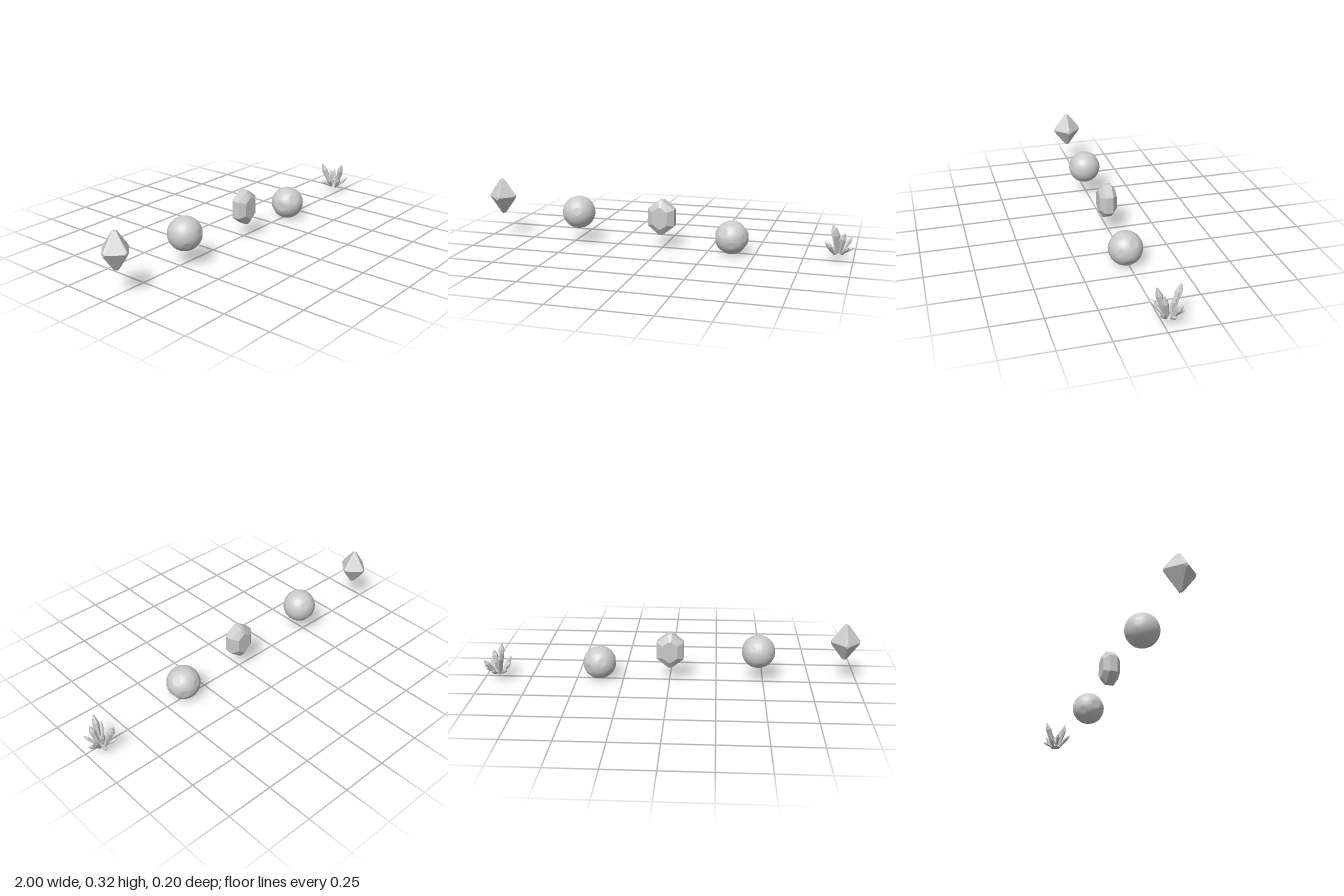
import * as THREE from 'three';
import { ConvexGeometry } from 'three/addons/geometries/ConvexGeometry.js';
import { mergeVertices, toCreasedNormals } from 'three/addons/utils/BufferGeometryUtils.js';

const V = (x, y, z) => new THREE.Vector3(x, y, z);
const smooth = new THREE.MeshStandardMaterial({ color: 0xcccccc });
const faceted = new THREE.MeshStandardMaterial({ color: 0xcccccc, flatShading: true });

function add(parent, name, geometry, material, x = 0, y = 0, z = 0) {
  const mesh = new THREE.Mesh(geometry, material);
  mesh.name = name;
  mesh.position.set(x, y, z);
  parent.add(mesh);
  return mesh;
}

// Eight-sided stone with each of its six corners blunted into a small square
function octahedronStone(rx, ry, rz, blunt) {
  const points = [];
  for (const s of [-1, 1]) for (const a of [-blunt, blunt]) {
    points.push(V(s * rx, a, 0), V(s * rx, 0, a));
    points.push(V(a, s * ry, 0), V(0, s * ry, a));
    points.push(V(a, 0, s * rz), V(0, a, s * rz));
  }
  return new ConvexGeometry(points);
}

// Flat cut gem: long hexagonal girdle, bevelled to a smaller table front and back
function cutGem() {
  const points = [];
  for (const sx of [-1, 1]) for (const sy of [-1, 1]) for (const sz of [-1, 1]) {
    points.push(V(sx * 0.011, sy * 0.093, sz * 0.024), V(sx * 0.072, sy * 0.046, sz * 0.02));
    points.push(V(sx * 0.006, sy * 0.058, sz * 0.046), V(sx * 0.04, sy * 0.034, sz * 0.046));
  }
  return new ConvexGeometry(points);
}

// Ball with shallow flats ground into it; cuts are [direction, depth as share of radius]
function groundBall(radius, cuts) {
  let g = new THREE.IcosahedronGeometry(radius, 16);
  const p = g.attributes.position;
  const v = V(0, 0, 0);
  for (let i = 0; i < p.count; i++) {
    v.fromBufferAttribute(p, i).normalize();
    let r = radius;
    for (const [dir, depth] of cuts) {
      const d = v.dot(dir);
      if (d > 0.5) r = Math.min(r, radius * depth / d);
    }
    p.setXYZ(i, v.x * r, v.y * r, v.z * r);
  }
  g.deleteAttribute('normal');
  g.deleteAttribute('uv');
  g = mergeVertices(g, 1e-6);
  return toCreasedNormals(g, 0.15);
}

// Evenly spread directions for the flats
function flats(count, depth, turn) {
  return Array.from({ length: count }, (_, i) => {
    const y = 1 - 2 * (i + 0.5) / count;
    const a = i * 2.4 + turn;
    const r = Math.sqrt(1 - y * y);
    return [V(r * Math.cos(a), y, r * Math.sin(a)), depth + 0.012 * Math.sin(i * 1.7)];
  });
}

// Six-sided crystal, narrow at the foot with a pointed end
function crystal(length, r) {
  const profile = [[0, 0], [0.6 * r, 0], [r, 0.72 * length], [0.2 * r, 0.98 * length], [0, length]];
  return new THREE.LatheGeometry(profile.map(([x, y]) => new THREE.Vector2(x, y)), 6);
}

export function createModel() {
  const model = new THREE.Group();
  model.name = 'gemstones';

  add(model, 'octahedronGem', octahedronStone(0.074, 0.096, 0.076, 0.012), faceted, -0.926, 0.229, 0.013);
  add(model, 'upperBall', groundBall(0.088, flats(9, 0.98, 0.4)), smooth, -0.472, 0.167, 0.012);
  add(model, 'hexagonGem', cutGem(), faceted, -0.003, 0.17, 0.006);
  add(model, 'lowerBall', groundBall(0.088, flats(13, 0.965, 1.1)), smooth, 0.378, 0.088, 0.012);

  // Crystal cluster: tips as x, y, z, radius, all fanning from one foot
  const cluster = new THREE.Group();
  cluster.name = 'crystalCluster';
  model.add(cluster);
  const tips = [
    [0.912, 0.185, 0.03, 0.017],
    [0.887, 0.174, -0.096, 0.018],
    [0.953, 0.152, 0.008, 0.017],
    [0.988, 0.117, -0.07, 0.014],
    [0.868, 0.102, 0.047, 0.012],
    [0.94, 0.066, -0.1, 0.01],
    [0.998, 0.07, -0.035, 0.01],
    [0.853, 0.095, -0.03, 0.012],
    [0.98, 0.085, 0.03, 0.011],
    [0.865, 0.07, -0.08, 0.01],
    [0.925, 0.13, -0.055, 0.013],
  ];
  const foot = V(0.922, 0.034, -0.028);
  for (const [x, y, z, r] of tips) {
    const tip = V(x, y, z);
    const start = foot.clone().lerp(V(x, foot.y, z), 0.25);
    const axis = tip.clone().sub(start);
    const mesh = add(cluster, 'crystal', crystal(axis.length(), r), faceted, start.x, start.y, start.z);
    mesh.quaternion.setFromUnitVectors(V(0, 1, 0), axis.normalize());
  }
  add(cluster, 'clusterFoot', new THREE.CylinderGeometry(0.02, 0.03, 0.016, 8), faceted, foot.x, 0.039, foot.z);

  return model;
}
